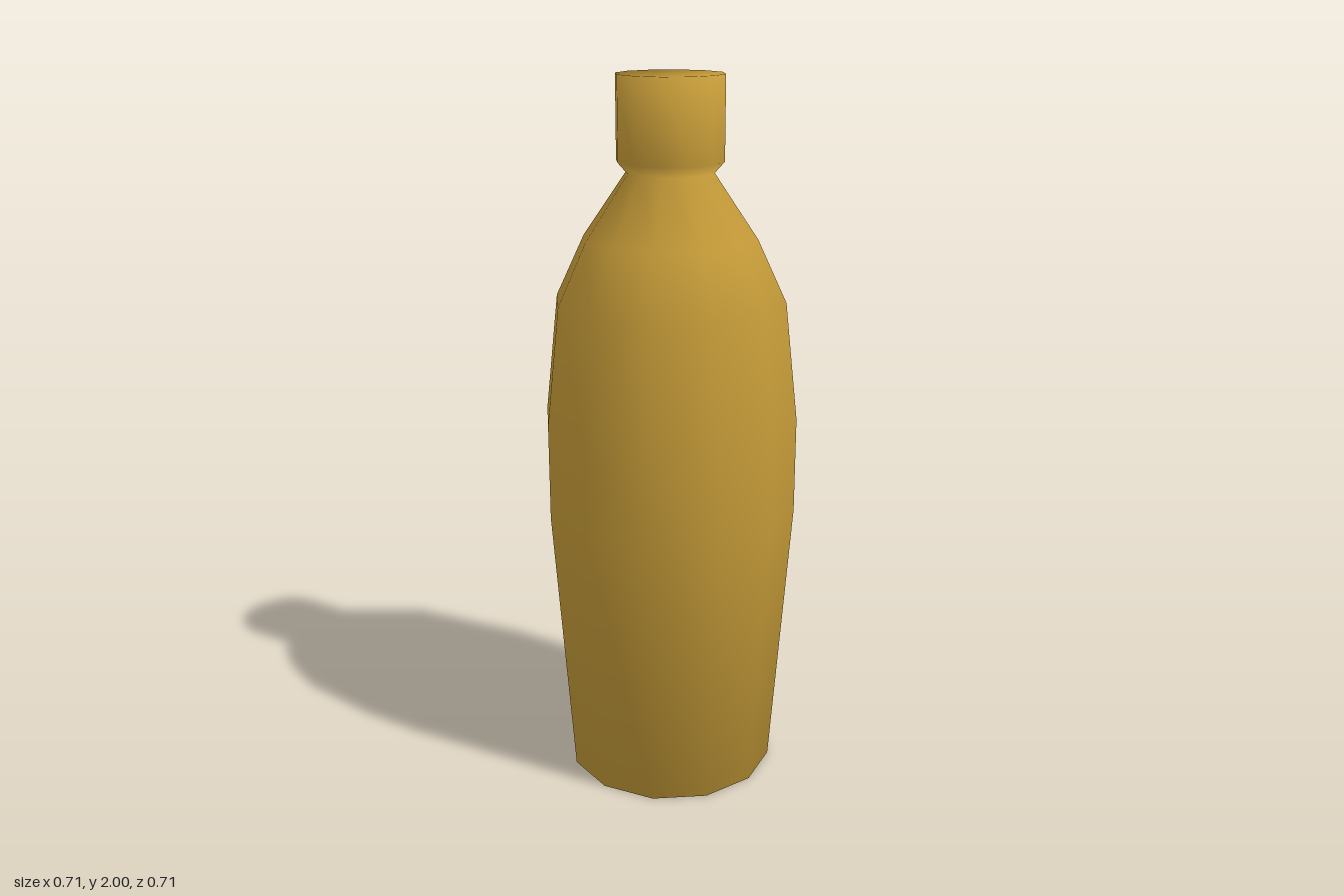
import * as THREE from 'three';

const SIDES = 12;

// Profile from the base centre up to the cap centre: [radius, height]
const PROFILE = [
  [0, 0], [0.3, 0],                               // base
  [0.357, 0.8], [0.357, 1.07],                    // belly
  [0.32, 1.4], [0.24, 1.57], [0.12, 1.745],       // shoulder and neck
  [0.147, 1.775], [0.147, 2], [0, 2],             // cap
];

// Closes the ends with flat polygons that share the softly shaded rim
function flattenEnds(geometry, rows) {
  const old = geometry.index.array;
  const index = [];
  for (let t = 0; t < old.length; t += 3) {
    const face = [old[t], old[t + 1], old[t + 2]];
    if (face.every((v) => v % rows !== 0 && v % rows !== rows - 1)) index.push(...face);
  }
  const base = (i) => i * rows + 1;
  const top = (i) => i * rows + rows - 2;
  for (let i = 1; i < SIDES - 1; i++) {
    index.push(base(0), base(i + 1), base(i));
    index.push(top(0), top(i), top(i + 1));
  }
  geometry.setIndex(index);
  return geometry;
}

export function createModel() {
  const group = new THREE.Group();
  group.name = 'bottle';

  const points = PROFILE.map(([r, y]) => new THREE.Vector2(r, y));
  const geometry = flattenEnds(new THREE.LatheGeometry(points, SIDES), points.length);

  // Body, neck and cap are one continuous smooth surface
  const body = new THREE.Mesh(geometry, new THREE.MeshStandardMaterial({ color: 0xc49a38 }));
  body.name = 'bottleBodyAndCap';
  group.add(body);
  return group;
}
